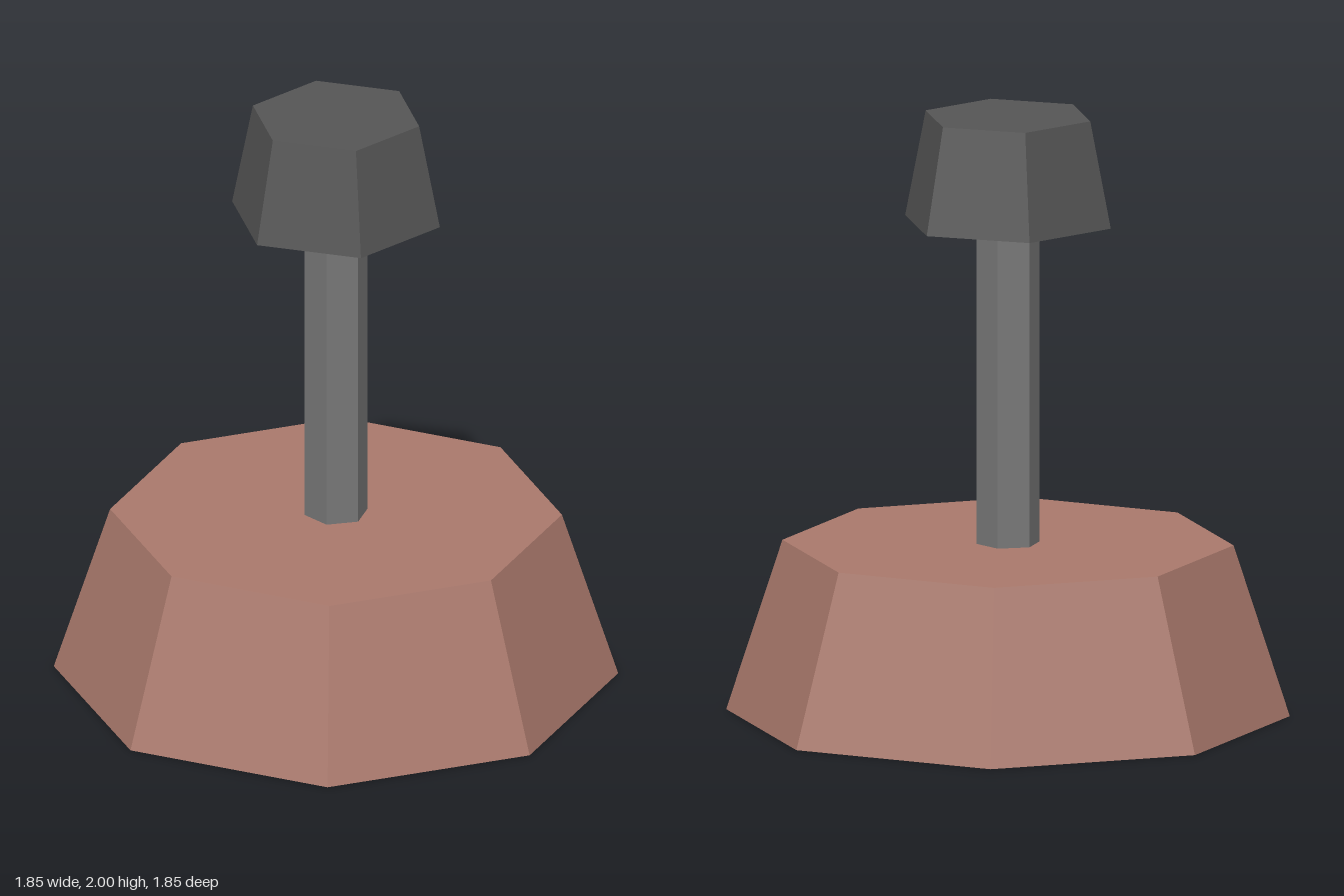
import * as THREE from 'three';

const material = (name, color) => {
  const m = new THREE.MeshStandardMaterial({ color, flatShading: true });
  m.name = name;
  return m;
};

export function createModel() {
  const group = new THREE.Group();
  group.name = 'plunger';

  const clay = material('clay brown', 0xaa796c);
  const steel = material('mid grey', 0x777777);
  const iron = material('dark grey', 0x555555);

  // Faceted frustum standing between two heights
  const frustum = (name, topRadius, bottomRadius, y0, y1, sides, mat, turn = 0) => {
    const geometry = new THREE.CylinderGeometry(topRadius, bottomRadius, y1 - y0, sides);
    geometry.rotateY(turn);
    const mesh = new THREE.Mesh(geometry, mat);
    mesh.name = name;
    mesh.position.y = (y0 + y1) / 2;
    group.add(mesh);
  };

  // Wide octagonal foot
  frustum('base', 0.742, 0.927, 0, 0.57, 8, clay);
  // Thin hexagonal rod, sunk slightly into both ends
  frustum('shaft', 0.106, 0.106, 0.55, 1.67, 6, steel);
  // Tapered hexagonal head with corners on the x axis
  frustum('head', 0.285, 0.356, 1.645, 2, 6, iron, Math.PI / 6);

  return group;
}
